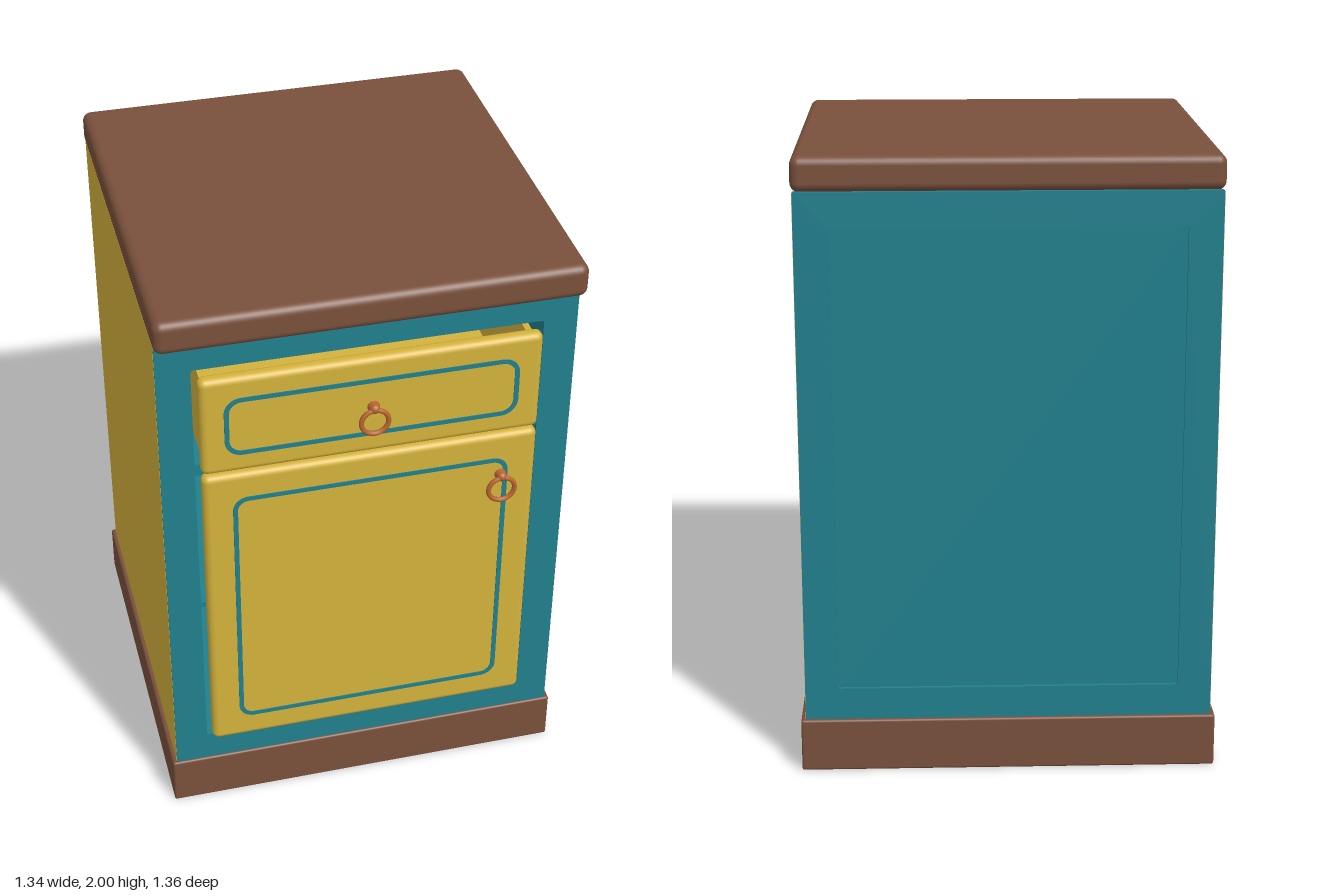
import * as THREE from 'three';
import { RoundedBoxGeometry } from 'three/addons/geometries/RoundedBoxGeometry.js';

const makeMaterial = (name, color, side = THREE.FrontSide) =>
  new THREE.MeshStandardMaterial({ name, color, side });

// Rounded rectangle outline, as a Shape or as a hole Path
function roundedRect(x0, y0, x1, y1, r, Type = THREE.Shape) {
  const s = new Type();
  s.moveTo(x0 + r, y0);
  s.lineTo(x1 - r, y0);
  s.absarc(x1 - r, y0 + r, r, -Math.PI / 2, 0);
  s.lineTo(x1, y1 - r);
  s.absarc(x1 - r, y1 - r, r, 0, Math.PI / 2);
  s.lineTo(x0 + r, y1);
  s.absarc(x0 + r, y1 - r, r, Math.PI / 2, Math.PI);
  s.lineTo(x0, y0 + r);
  s.absarc(x0 + r, y0 + r, r, Math.PI, Math.PI * 1.5);
  return s;
}

// Extruded frame: outer and inner are [x0, y0, x1, y1, radius], from z to z + depth
function frameGeometry(outer, inner, z, depth) {
  const shape = roundedRect(...outer);
  shape.holes.push(roundedRect(...inner, THREE.Path));
  const g = new THREE.ExtrudeGeometry(shape, { depth, bevelEnabled: false, curveSegments: 8 });
  return g.translate(0, 0, z);
}

export function createModel() {
  const brown = makeMaterial('brown wood', 0x7a503c);
  const teal = makeMaterial('teal paint', 0x20808e);
  const yellow = makeMaterial('yellow paint', 0xd4b23c);
  const copper = makeMaterial('copper', 0xb8652f);

  const model = new THREE.Group();
  model.name = 'cabinet';

  function add(name, geometry, material, parent = model) {
    const mesh = new THREE.Mesh(geometry, material);
    mesh.name = name;
    parent.add(mesh);
    return mesh;
  }
  // Box given by its limits, rounded when r > 0
  function block(name, material, [x0, x1], [y0, y1], [z0, z1], r = 0, parent = model) {
    const size = [x1 - x0, y1 - y0, z1 - z0];
    const g = r ? new RoundedBoxGeometry(...size, 4, r) : new THREE.BoxGeometry(...size);
    g.translate((x0 + x1) / 2, (y0 + y1) / 2, (z0 + z1) / 2);
    return add(name, g, material, parent);
  }

  // Plinth and worktop
  block('plinth', brown, [-0.67, 0.67], [0, 0.175], [-0.677, 0.606], 0.008);
  block('worktop', brown, [-0.662, 0.662], [1.89, 2], [-0.662, 0.66], 0.028);

  // Carcass: face frame, recessed back, side walls with painted skins
  const outer = [-0.655, 0.17, 0.655, 1.893, 0.004];
  const opening = [-0.548, 0.28, 0.548, 1.785, 0.008];
  add('frontFrame', frameGeometry(outer, opening, 0.55, 0.048), teal);
  add('backFrame', frameGeometry(outer, opening, -0.665, 0.02), teal);
  block('backPanel', teal, [-0.6, 0.6], [0.2, 1.87], [-0.653, -0.635]);
  for (const s of [-1, 1]) {
    const wall = [s * 0.63, s * 0.648].sort((a, b) => a - b);
    const skin = [s * 0.648, s * 0.656].sort((a, b) => a - b);
    block('sideWall', teal, wall, [0.172, 1.892], [-0.65, 0.56]);
    block('sidePanel', yellow, skin, [0.172, 1.884], [-0.662, 0.594]);
  }

  // Inside: floor, shelf and the rail under the drawer
  block('floor', teal, [-0.63, 0.63], [0.2, 0.28], [-0.64, 0.56]);
  block('shelf', teal, [-0.63, 0.63], [0.81, 0.83], [-0.64, 0.55]);
  block('drawerRail', teal, [-0.63, 0.63], [1.39, 1.43], [-0.64, 0.596]);

  // Ring pull: back plate, knuckle and hanging ring
  function ringPull(x, y, parent) {
    const pull = new THREE.Group();
    pull.name = 'ringPull';
    pull.position.set(x, y, 0.645);
    const stem = add('stem', new THREE.CylinderGeometry(0.016, 0.02, 0.022, 20), copper, pull);
    stem.rotation.x = Math.PI / 2;
    stem.position.set(0, 0.045, 0.011);
    const knuckle = add('knuckle', new THREE.SphereGeometry(0.016, 20, 12), copper, pull);
    knuckle.position.set(0, 0.047, 0.018);
    const ring = add('ring', new THREE.TorusGeometry(0.043, 0.008, 12, 40), copper, pull);
    ring.position.z = 0.023;
    parent.add(pull);
  }

  // Drawer: front with inlaid line, and the box behind it
  const drawer = new THREE.Group();
  drawer.name = 'drawer';
  model.add(drawer);
  block('drawerFront', yellow, [-0.535, 0.535], [1.42, 1.77], [0.597, 0.647], 0.022, drawer);
  add('drawerInlay', frameGeometry([-0.462, 1.487, 0.462, 1.698, 0.055],
    [-0.447, 1.502, 0.447, 1.683, 0.04], 0.644, 0.006), teal, drawer);
  block('drawerBottom', yellow, [-0.52, 0.52], [1.435, 1.455], [-0.5, 0.6], 0, drawer);
  block('drawerBack', yellow, [-0.52, 0.52], [1.455, 1.74], [-0.5, -0.48], 0, drawer);
  for (const x of [-0.52, 0.5])
    block('drawerSide', yellow, [x, x + 0.02], [1.455, 1.74], [-0.48, 0.6], 0, drawer);
  ringPull(0, 1.55, drawer);

  // Door with inlaid line
  const door = new THREE.Group();
  door.name = 'door';
  model.add(door);
  block('doorPanel', yellow, [-0.535, 0.535], [0.297, 1.41], [0.597, 0.647], 0.022, door);
  add('doorInlay', frameGeometry([-0.443, 0.387, 0.443, 1.32, 0.05],
    [-0.428, 0.402, 0.428, 1.305, 0.035], 0.644, 0.006), teal, door);
  ringPull(0.42, 1.21, door);

  return model;
}
